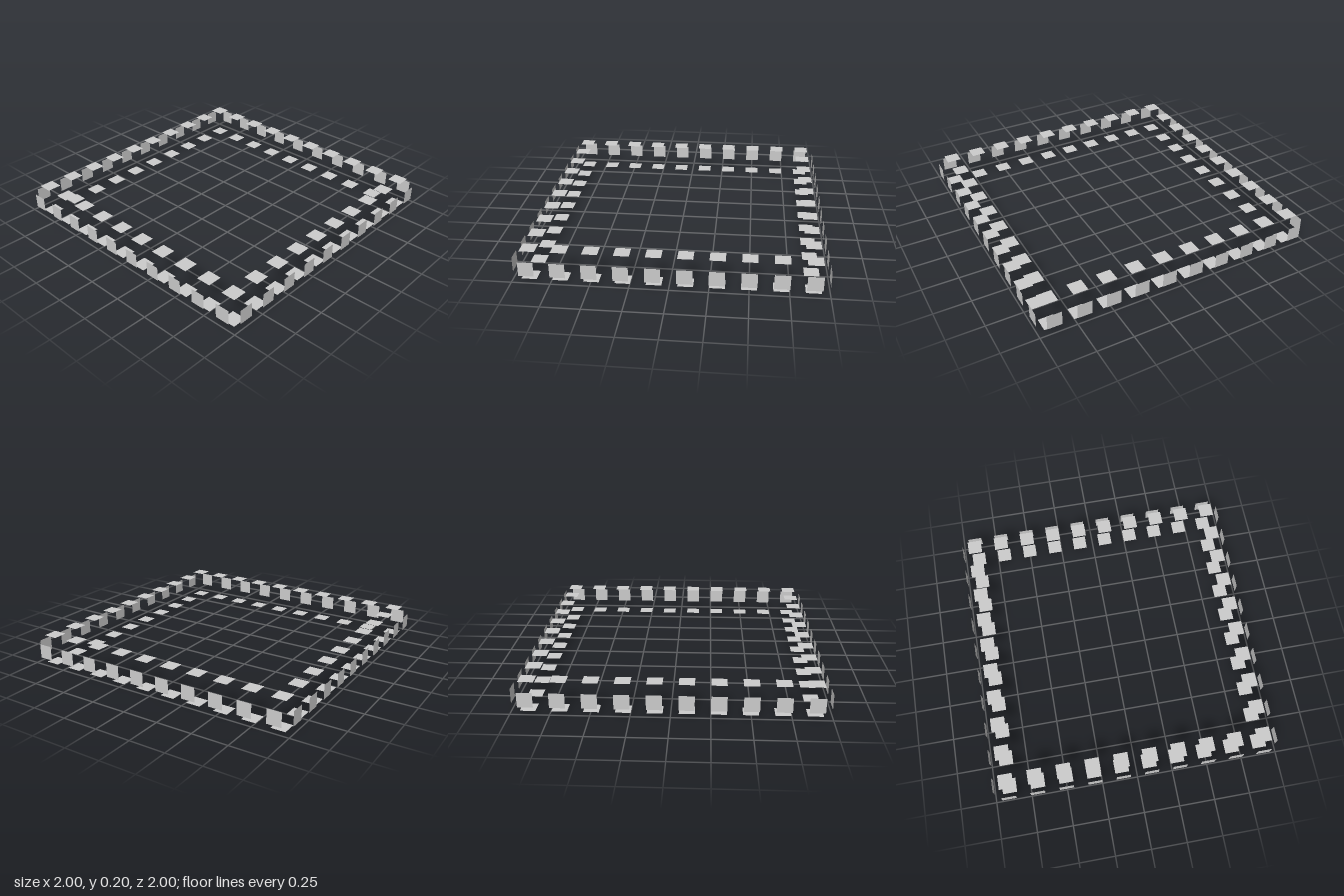
import * as THREE from 'three';

const COUNT = 10;    // cells along each side of the ring
const PITCH = 0.2;   // cell size
const TILE = 0.1;    // tile size

export function createModel() {
  const model = new THREE.Group();
  model.name = 'tileRing';
  const material = new THREE.MeshStandardMaterial({ color: 0xcccccc, side: THREE.DoubleSide });
  const tile = new THREE.PlaneGeometry(TILE, TILE);
  const half = (COUNT * PITCH) / 2;
  const at = (i) => (i + 0.5) * PITCH - half;

  function addTile(parent, name, x, y, z, rx, ry) {
    const mesh = new THREE.Mesh(tile, material);
    mesh.name = name;
    mesh.position.set(x, y, z);
    mesh.rotation.set(rx, ry, 0);
    parent.add(mesh);
  }

  // Four identical sides, each turned a quarter around the ring
  ['front', 'left', 'back', 'right'].forEach((name, k) => {
    const side = new THREE.Group();
    side.name = name + 'Side';
    side.rotation.y = (k * Math.PI) / 2;
    for (let i = 0; i < COUNT; i++) {
      // Upright tile on the outer face
      addTile(side, 'outerTile', at(i), PITCH / 2, half, 0, 0);
      // Flat tiles above and below; the last corner belongs to the next side
      if (i < COUNT - 1) {
        addTile(side, 'topTile', at(i), PITCH, half - PITCH / 2, -Math.PI / 2, 0);
        addTile(side, 'bottomTile', at(i), 0, half - PITCH / 2, Math.PI / 2, 0);
      }
    }
    model.add(side);
  });

  return model;
}
